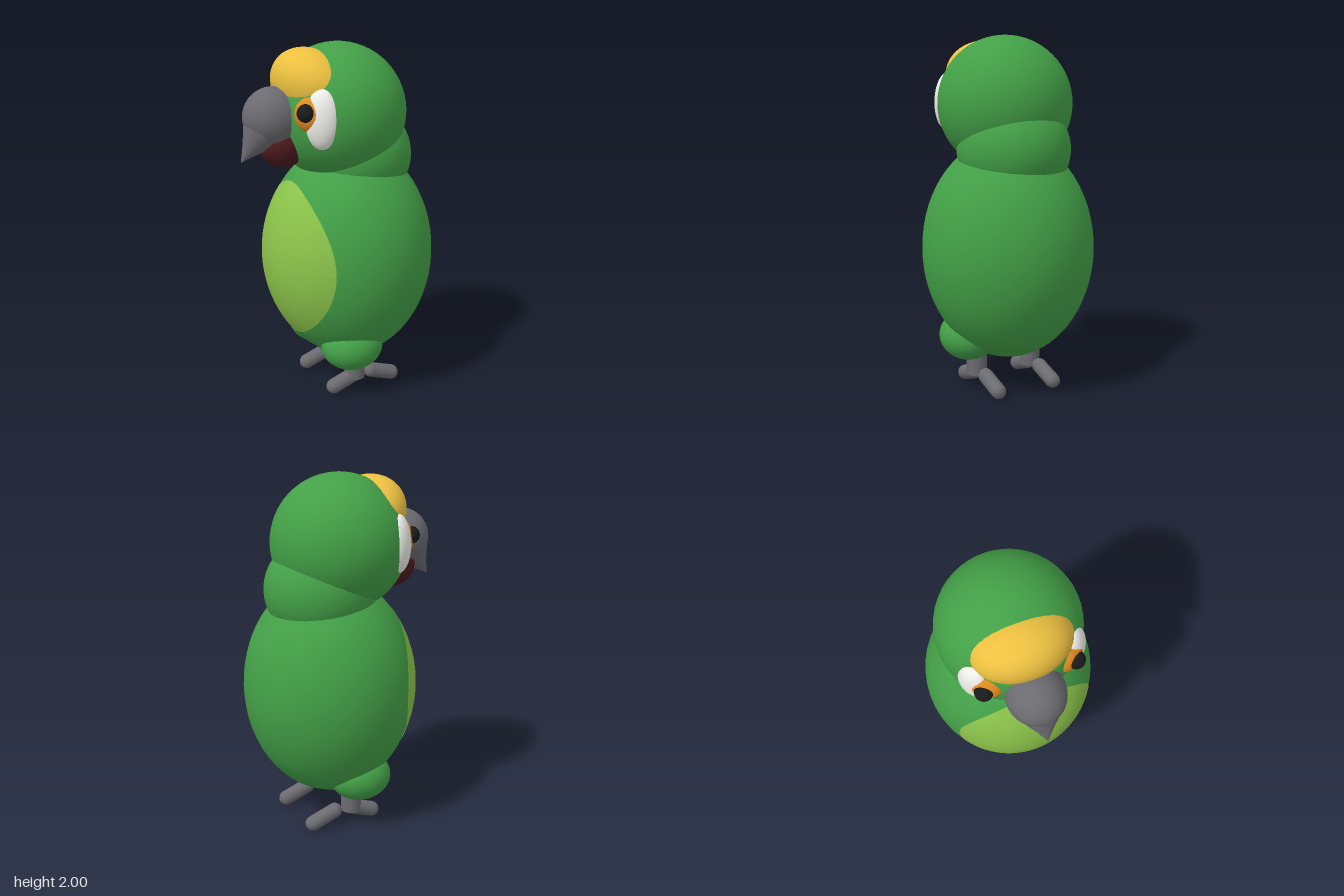
import * as THREE from 'three';

const mat = (color, side = THREE.FrontSide) => new THREE.MeshStandardMaterial({ color, side });
const green = mat(0x43a047), lime = mat(0x8bc34a, THREE.DoubleSide), yellow = mat(0xecc040);
const grey = mat(0x6b6b70), maroon = mat(0x4e1a1e), white = mat(0xeeeeea);
const orange = mat(0xe08a20), black = mat(0x1a1a1a);
const YAW = -0.314; // the bird is turned slightly to its right

function add(parent, name, geometry, material, x = 0, y = 0, z = 0) {
  const mesh = new THREE.Mesh(geometry, material);
  mesh.name = name;
  mesh.position.set(x, y, z);
  parent.add(mesh);
  return mesh;
}

function ellipsoid(parent, name, material, [rx, ry, rz], [x, y, z]) {
  return add(parent, name, new THREE.SphereGeometry(1, 48, 32).scale(rx, ry, rz), material, x, y, z);
}

// Ellipsoid pushed out of the head along a direction (azimuth, elevation)
function bump(head, name, material, radii, azimuth, elevation, distance) {
  const dir = [Math.sin(azimuth) * Math.cos(elevation), Math.sin(elevation), Math.cos(azimuth) * Math.cos(elevation)];
  const mesh = ellipsoid(head, name, material, radii, dir.map((v) => v * distance));
  mesh.rotation.set(-elevation, azimuth, 0, 'YXZ');
  return mesh;
}

// Rounded rod between two points
function rod(parent, name, material, a, b, radius) {
  const from = new THREE.Vector3(...a), to = new THREE.Vector3(...b);
  const dir = to.clone().sub(from);
  const mesh = add(parent, name, new THREE.CapsuleGeometry(radius, dir.length(), 8, 20), material);
  mesh.position.copy(from).add(to).multiplyScalar(0.5);
  mesh.quaternion.setFromUnitVectors(new THREE.Vector3(0, 1, 0), dir.normalize());
  return mesh;
}

// Oval patch lying on the front of the body
function bellyGeometry(center, r, ry) {
  const geo = new THREE.RingGeometry(0.001, 1, 64, 16);
  const p = geo.attributes.position;
  for (let i = 0; i < p.count; i++) {
    const u = p.getX(i), v = p.getY(i);
    const azimuth = u * 0.96, y = 0.815 + v * 0.44;
    const lift = 1.004 + 0.018 * (1 - u * u - v * v);
    const radius = r * lift * Math.sqrt(1 - ((y - center) / ry) ** 2);
    p.setXYZ(i, radius * Math.sin(azimuth), y, radius * Math.cos(azimuth));
  }
  geo.computeVertexNormals();
  return geo;
}

export function createModel() {
  const bird = new THREE.Group();
  bird.name = 'parrot';

  // Body, neck and belly
  const torso = new THREE.Group();
  torso.name = 'torso';
  torso.position.z = -0.06;
  torso.rotation.y = YAW;
  bird.add(torso);
  ellipsoid(torso, 'body', green, [0.487, 0.63, 0.487], [0, 0.81, 0]);
  add(torso, 'belly', bellyGeometry(0.81, 0.487, 0.63), lime);
  ellipsoid(bird, 'neck', green, [0.315, 0.3, 0.32], [0.01, 1.37, -0.11]);

  // Thighs, legs and toes
  for (const [side, s] of [['left', 1], ['right', -1]]) {
    const leg = new THREE.Group();
    leg.name = side + 'Leg';
    torso.add(leg);
    ellipsoid(leg, 'thigh', green, [0.16, 0.14, 0.18], [s * 0.215, 0.305, 0.085]);
    add(leg, 'shank', new THREE.CylinderGeometry(0.058, 0.058, 0.2, 24), grey, s * 0.18, 0.18, 0.047);
    rod(leg, 'frontToe', grey, [s * 0.18, 0.09, 0.06], [s * 0.18, 0.047, 0.185], 0.043);
    rod(leg, 'backToe', grey, [s * 0.18, 0.095, -0.06], [s * 0.18, 0.047, -0.2], 0.043);
  }

  // Head
  const head = new THREE.Group();
  head.name = 'head';
  head.position.set(-0.03, 1.62, -0.01);
  head.rotation.y = YAW;
  bird.add(head);
  ellipsoid(head, 'skull', green, [0.38, 0.38, 0.38], [0, 0, 0]);
  bump(head, 'foreheadPatch', yellow, [0.275, 0.195, 0.25], 0, 0.75, 0.2);

  // Eyes with their orange rings and white cheeks
  for (const [side, s] of [['left', 1], ['right', -1]]) {
    bump(head, side + 'Cheek', white, [0.095, 0.16, 0.068], s * 0.85, 0.04, 0.337);
    bump(head, side + 'EyeRing', orange, [0.1, 0.1, 0.072], s * 0.69, 0.11, 0.338);
    bump(head, side + 'Eye', black, [0.048, 0.048, 0.048], s * 0.66, 0.13, 0.396);
  }

  // Beak: round base, hooked tip and lower half
  ellipsoid(head, 'upperBeak', grey, [0.155, 0.163, 0.165], [0, 0, 0.39]);
  const profile = new THREE.SplineCurve([[0.125, 0], [0.1, 0.07], [0.062, 0.13], [0.03, 0.185], [0, 0.24]]
    .map(([r, y]) => new THREE.Vector2(r, y))).getPoints(20);
  profile[20].x = 0;
  const tip = add(head, 'beakTip', new THREE.LatheGeometry(profile, 32), grey, 0, -0.045, 0.43);
  tip.quaternion.setFromUnitVectors(new THREE.Vector3(0, 1, 0), new THREE.Vector3(0, -0.185, 0.15).normalize());
  ellipsoid(head, 'lowerBeak', maroon, [0.135, 0.135, 0.135], [0, -0.145, 0.335]);

  return bird;
}
